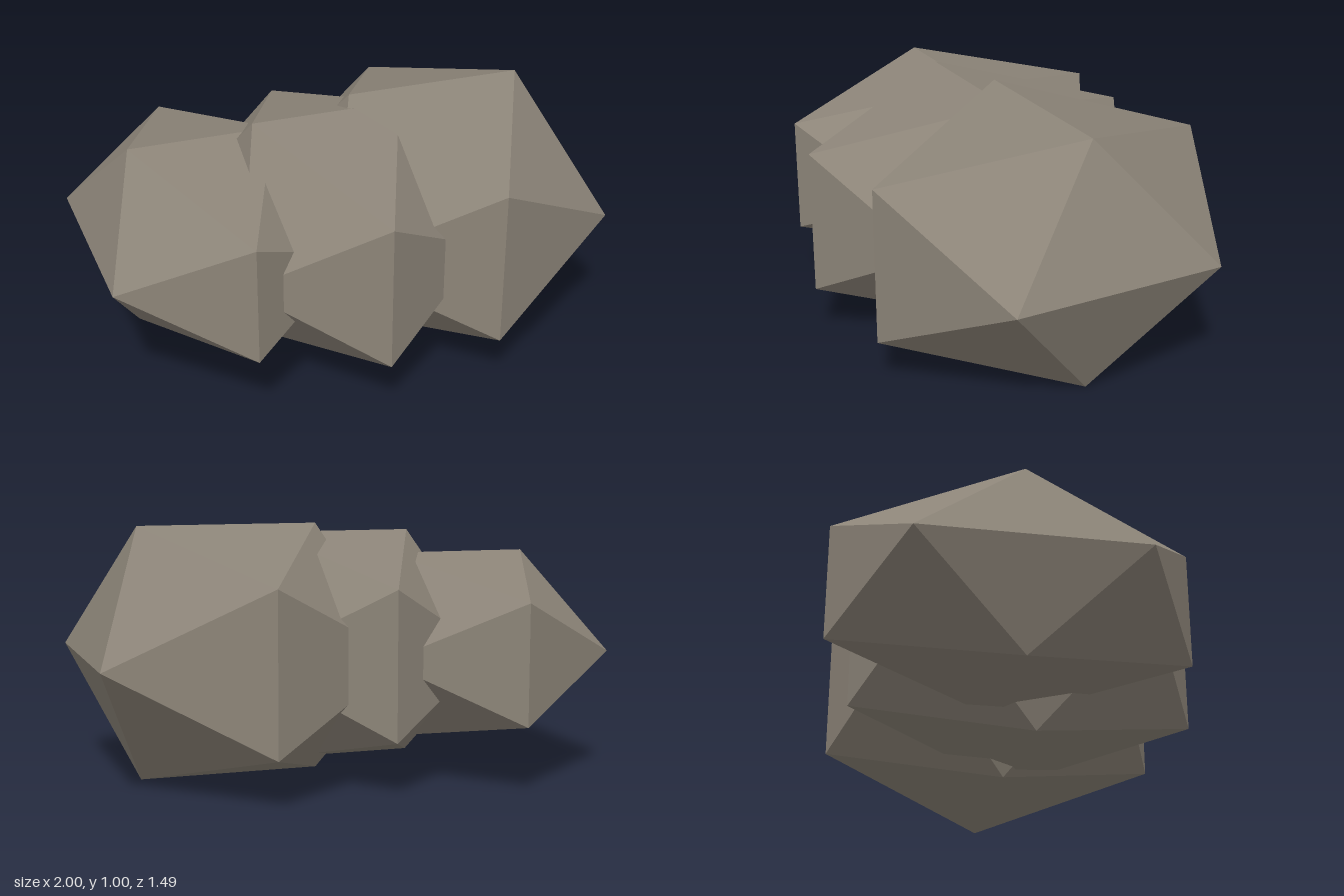
import * as THREE from 'three';

export function createModel() {
  const group = new THREE.Group();
  group.name = 'rockCluster';
  const stone = new THREE.MeshStandardMaterial({ color: 0x8c8478, flatShading: true });
  stone.name = 'warm grey stone';

  // Each rock is a faceted icosahedron stretched along its axes
  const addRock = (name, position, scale) => {
    const rock = new THREE.Mesh(new THREE.IcosahedronGeometry(1, 0), stone);
    rock.name = name;
    rock.position.set(...position);
    rock.scale.set(...scale);
    group.add(rock);
  };

  // Three overlapping rocks, growing from right to left
  addRock('smallRock', [-0.53, 0.502, -0.065], [0.552, 0.442, 0.805]);
  addRock('middleRock', [-0.058, 0.502, 0.058], [0.574, 0.543, 0.805]);
  addRock('largeRock', [0.415, 0.502, 0.005], [0.687, 0.586, 0.805]);

  return group;
}
